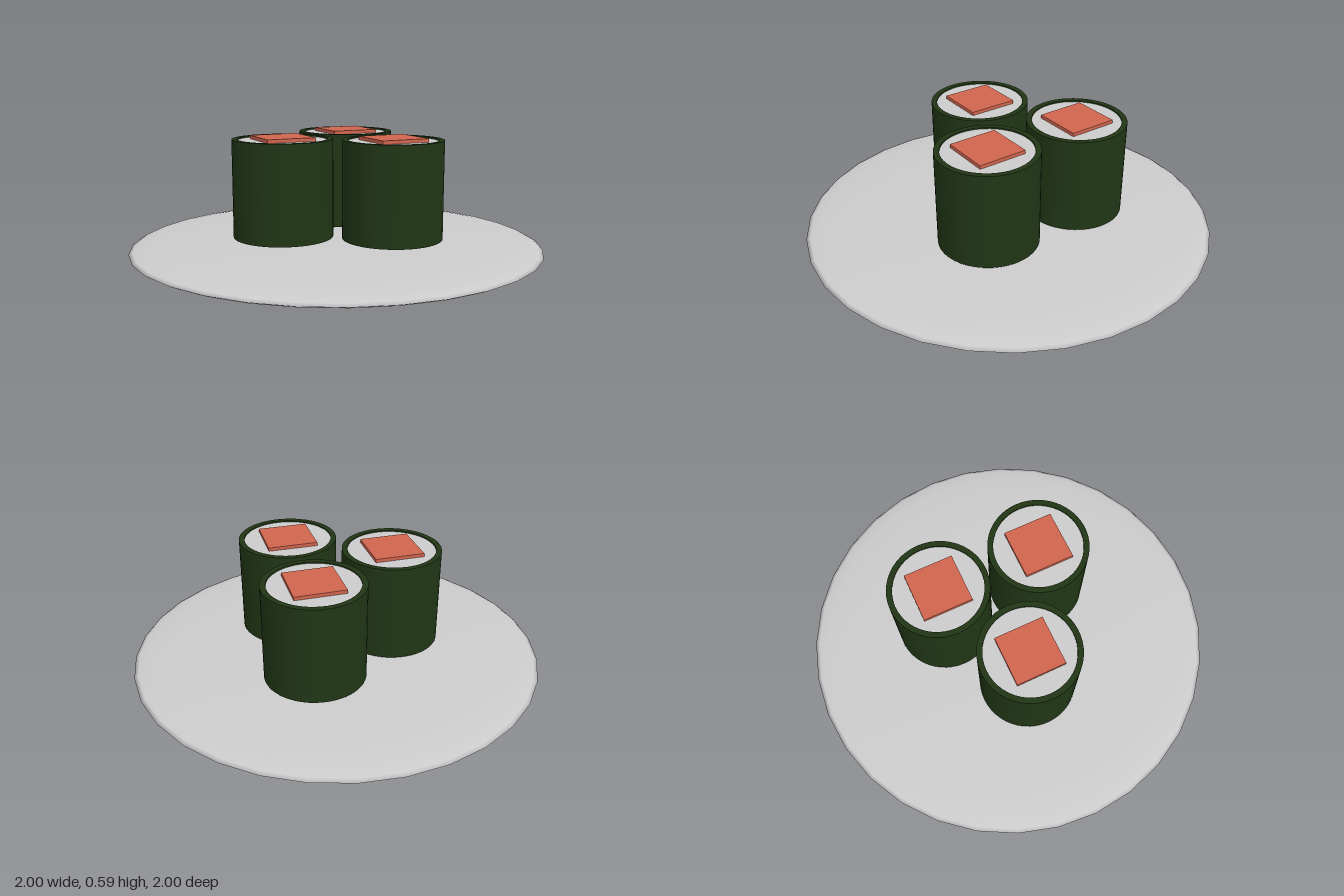
import * as THREE from 'three';

const material = (color) => new THREE.MeshStandardMaterial({ color });

function part(name, geometry, mat, y) {
  const mesh = new THREE.Mesh(geometry, mat);
  mesh.name = name;
  mesh.position.y = y;
  return mesh;
}

// Hollow seaweed wrapper: each wall and rim has its own normals, so edges stay sharp
function wrapper(outer, inner, height) {
  const h = height / 2;
  const group = new THREE.Group();
  group.name = 'seaweedWrap';
  const mat = material(0x203615);
  const corners = [[outer, -h], [outer, h], [inner, h], [inner, -h]];
  ['outerWall', 'topRim', 'innerWall', 'bottomRim'].forEach((name, i) => {
    const points = [corners[i], corners[(i + 1) % 4]].map(([r, y]) => new THREE.Vector2(r, y));
    group.add(part(name, new THREE.LatheGeometry(points, 48), mat, 0));
  });
  return group;
}

export function createModel() {
  const model = new THREE.Group();
  model.name = 'sushiPlate';

  // Plate: a strongly flattened sphere
  const plate = part('plate', new THREE.SphereGeometry(1, 32, 16).scale(1, 0.051, 1), material(0xcccccc), 0.051);
  model.add(plate);

  // Three rolls, each with wrapper, rice and a square filling poking out of both ends
  const rice = material(0xcccccc);
  const salmon = material(0xd0644e);
  [[-0.272, -0.02], [0.18, -0.27], [0.18, 0.242]].forEach(([x, z], i) => {
    const roll = new THREE.Group();
    roll.name = `roll${i + 1}`;
    roll.position.set(x, 0.345, z);
    roll.add(
      wrapper(0.24, 0.213, 0.47),
      part('rice', new THREE.CylinderGeometry(0.214, 0.214, 0.456, 48), rice, 0),
      part('filling', new THREE.BoxGeometry(0.24, 0.49, 0.24), salmon, 0)
    );
    model.add(roll);
  });

  return model;
}
